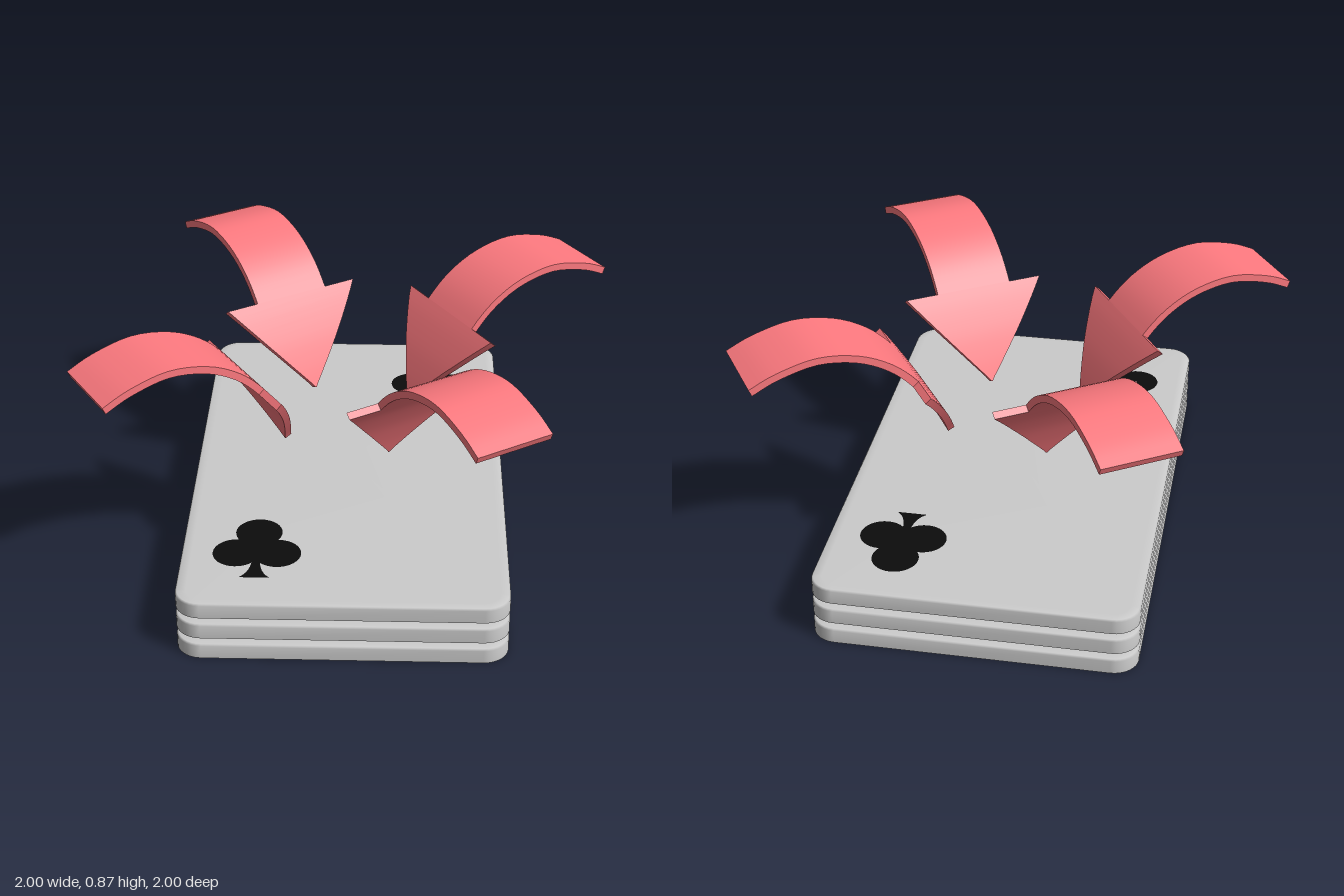
import * as THREE from 'three';
import { toCreasedNormals, mergeGeometries } from 'three/addons/utils/BufferGeometryUtils.js';

const grey = new THREE.MeshStandardMaterial({ color: 0xcccccc });
const red = new THREE.MeshStandardMaterial({ color: 0xff7a80 });
const black = new THREE.MeshStandardMaterial({ color: 0x0c0c0c });

const HALF_X = 0.89, HALF_Z = 0.545, CORNER = 0.085, CARD_H = 0.055;

// Rounded rectangle, pulled in by an inset
function outline(inset) {
  const pts = [], seg = 8;
  [[1, 1], [-1, 1], [-1, -1], [1, -1]].forEach(([sx, sz], q) => {
    for (let i = 0; i <= seg; i++) {
      const a = (q + i / seg) * Math.PI / 2, r = CORNER - inset;
      pts.push([sx * (HALF_X - CORNER) + r * Math.cos(a), sz * (HALF_Z - CORNER) + r * Math.sin(a)]);
    }
  });
  return pts;
}

// Card: stacked rings with a soft upper rim, flat lid and flat base
function cardGeometry() {
  const pos = [], index = [];
  const addRing = (inset, y) => {
    const start = pos.length / 3;
    outline(inset).forEach(([x, z]) => pos.push(x, y, z));
    return start;
  };
  const rings = [[0, 0], [0, CARD_H - 0.008], [0.006, CARD_H - 0.002], [0.035, CARD_H]].map((r) => addRing(...r));
  const base = addRing(0, 0);
  const n = outline(0).length, lidCentre = pos.length / 3;
  pos.push(0, CARD_H, 0, 0, 0, 0);
  for (let i = 0; i < n; i++) {
    const j = (i + 1) % n;
    for (let k = 0; k < rings.length - 1; k++) {
      const lo = rings[k], hi = rings[k + 1];
      index.push(lo + i, hi + i, lo + j, lo + j, hi + i, hi + j);
    }
    index.push(lidCentre, rings[3] + j, rings[3] + i);
    index.push(lidCentre + 1, base + i, base + j);
  }
  const g = new THREE.BufferGeometry();
  g.setAttribute('position', new THREE.Float32BufferAttribute(pos, 3));
  g.setIndex(index);
  g.computeVertexNormals();
  return g;
}

// Club mark: three round leaves and a flared stem, pointing along -x
function clubGeometry() {
  const leaf = (x, y) => new THREE.CircleGeometry(0.079, 32).translate(x, y, 0);
  const stem = new THREE.Shape();
  stem.moveTo(0.06, 0.018);
  stem.lineTo(0.14, 0.012);
  stem.quadraticCurveTo(0.235, 0.012, 0.262, 0.052);
  stem.lineTo(0.262, -0.052);
  stem.quadraticCurveTo(0.235, -0.012, 0.14, -0.012);
  stem.lineTo(0.06, -0.018);
  const parts = [leaf(0, 0), leaf(0.122, 0.069), leaf(0.122, -0.069), new THREE.ShapeGeometry(stem, 8)];
  return mergeGeometries(parts).rotateX(-Math.PI / 2);
}

// Arrow: a flat ribbon following an arch, with a wide tapering head
function arrowGeometry() {
  const path = new THREE.SplineCurve([
    [0.994, 0.797], [0.9, 0.837], [0.76, 0.865], [0.62, 0.843], [0.505, 0.785],
    [0.415, 0.7], [0.335, 0.585], [0.28, 0.485], [0.24, 0.4],
  ].map(([r, y]) => new THREE.Vector2(r, y)));
  const steps = 32, neck = 20, thick = 0.026;
  const neckY = path.getPoint(neck / steps).y, tipY = path.getPoint(1).y;

  // Four corners of the ribbon at one station
  const section = (i, w) => {
    const p = path.getPoint(i / steps), t = path.getTangent(i / steps);
    const bz = p.x - t.y * thick, by = p.y + t.x * thick;
    return [[-w, p.y, p.x], [w, p.y, p.x], [w, by, bz], [-w, by, bz]];
  };
  const sections = [];
  for (let i = 0; i <= neck; i++) sections.push(section(i, 0.14));
  for (let i = neck; i <= steps; i++) {
    const f = (path.getPoint(i / steps).y - tipY) / (neckY - tipY);
    sections.push(section(i, Math.max(0.002, 0.26 * f)));
  }

  const pos = [];
  const quad = (a, b, c, d) => pos.push(...a, ...b, ...c, ...a, ...c, ...d);
  for (let s = 0; s < sections.length - 1; s++) {
    const A = sections[s], B = sections[s + 1];
    for (let k = 0; k < 4; k++) {
      // At the neck only the backs of the barbs have area
      if (s === neck && k % 2 === 0) continue;
      const m = (k + 1) % 4;
      quad(A[k], A[m], B[m], B[k]);
    }
  }
  const tail = sections[0], tip = sections[sections.length - 1];
  quad(tail[0], tail[3], tail[2], tail[1]);
  quad(...tip);
  const g = new THREE.BufferGeometry();
  g.setAttribute('position', new THREE.Float32BufferAttribute(pos, 3));
  return toCreasedNormals(g, 0.6);
}

export function createModel() {
  const model = new THREE.Group();
  model.name = 'cardStackWithArrows';

  // Three stacked cards, turned 45 degrees
  const stack = new THREE.Group();
  stack.name = 'cardStack';
  stack.rotation.y = -Math.PI / 4;
  const card = cardGeometry();
  for (let i = 0; i < 3; i++) {
    const mesh = new THREE.Mesh(card, grey);
    mesh.name = 'card' + (i + 1);
    mesh.position.y = i * 0.08;
    stack.add(mesh);
  }

  // Marks on the top card
  const club = clubGeometry();
  [[0.477, 0.293], [-0.682, -0.293]].forEach(([x, z], i) => {
    const mesh = new THREE.Mesh(club, black);
    mesh.name = 'clubMark' + (i + 1);
    mesh.position.set(x, 0.16 + CARD_H + 0.002, z);
    stack.add(mesh);
  });
  model.add(stack);

  // Four arrows curving in towards the centre
  const arrow = arrowGeometry();
  for (let i = 0; i < 4; i++) {
    const mesh = new THREE.Mesh(arrow, red);
    mesh.name = 'arrow' + (i + 1);
    mesh.rotation.y = -0.22 + i * Math.PI / 2;
    model.add(mesh);
  }
  return model;
}
